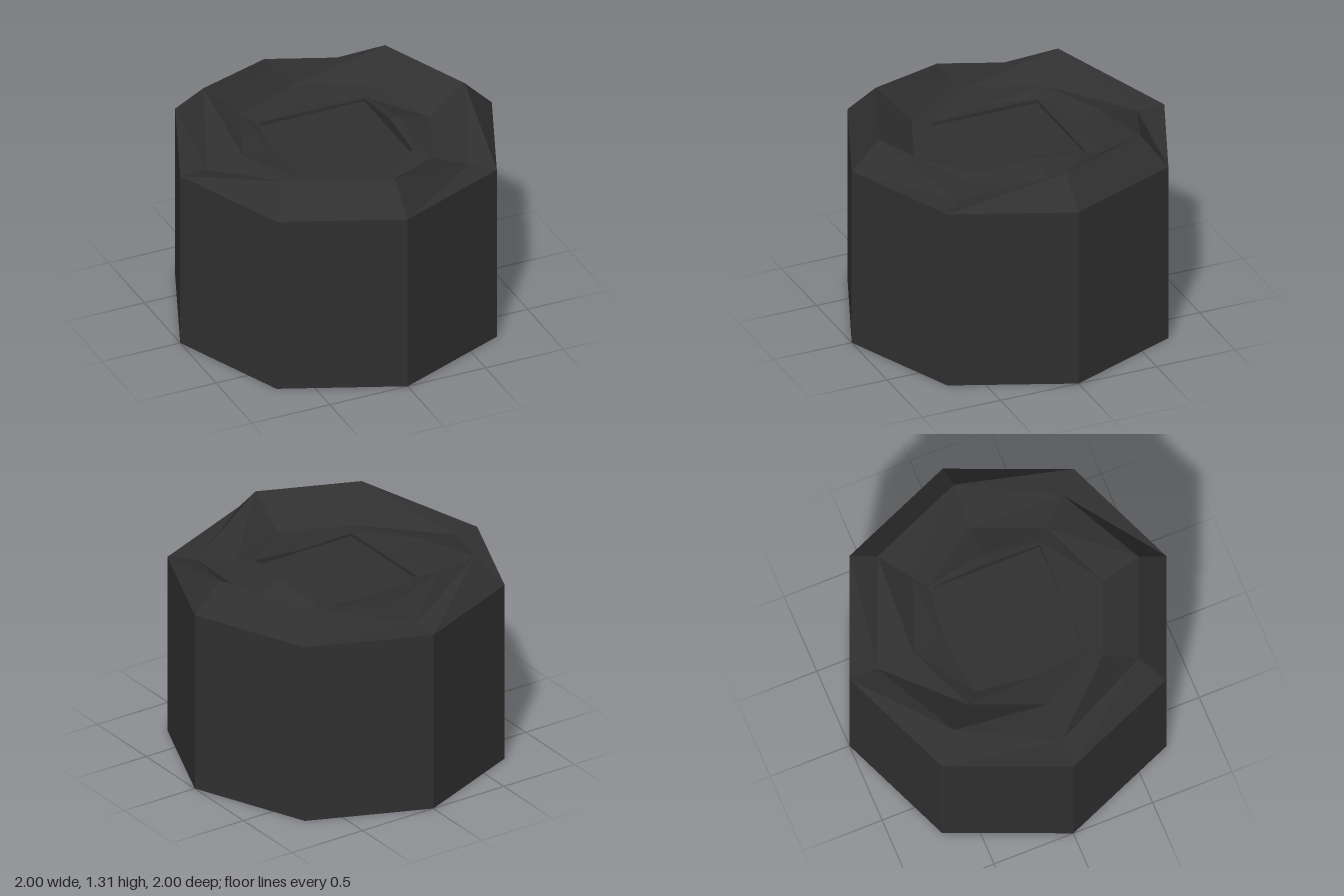
import * as THREE from 'three';

const SIDES = 8;
const BASE = 1.135; // height of the straight wall

// Ring of eight points; radius and height may each be one value or a list
function ring(radius, height) {
  const at = (v, i) => (Array.isArray(v) ? v[i % v.length] : v);
  return Array.from({ length: SIDES }, (_, i) => {
    const a = (i * Math.PI * 2) / SIDES;
    const r = at(radius, i);
    return [r * Math.cos(a), at(height, i), r * Math.sin(a)];
  });
}

// Faceted surface joining each ring to the next
function skin(name, rings, material) {
  const pos = [];
  const tri = (a, b, c) => {
    const same = (p, q) => p.every((v, k) => Math.abs(v - q[k]) < 1e-6);
    if (!same(a, b) && !same(b, c) && !same(a, c)) pos.push(...a, ...b, ...c);
  };
  for (let k = 0; k < rings.length - 1; k++) {
    const p = rings[k], q = rings[k + 1];
    for (let i = 0; i < SIDES; i++) {
      const j = (i + 1) % SIDES;
      tri(p[i], q[i], p[j]);
      tri(q[i], q[j], p[j]);
    }
  }
  const geometry = new THREE.BufferGeometry();
  geometry.setAttribute('position', new THREE.Float32BufferAttribute(pos, 3));
  geometry.computeVertexNormals();
  const mesh = new THREE.Mesh(geometry, material);
  mesh.name = name;
  return mesh;
}

export function createModel() {
  const group = new THREE.Group();
  group.name = 'octagonalBlock';
  const charcoal = new THREE.MeshStandardMaterial({ color: 0x303030, flatShading: true });
  charcoal.name = 'charcoal';

  const lift = (list) => list.map((h) => BASE + h);
  const H = 0.175; // height of the raised rim points

  // Points run from +x towards +z
  const outer = ring(1, BASE);
  const crest = ring(0.825, lift([H, 0, H, H, 0, H, 0, H]));
  const basin = ring(0.6, lift([0, 0, 0, 0, 0.04, 0.045, 0.045, 0.03]));
  const shelf = ring([0.4, 0.5], lift([0.06, 0.025, 0, 0.005, 0.01, 0.01, 0.01, 0.005]));
  const lip = ring([0.34, 0.481], lift([0.06, 0.025, 0, 0.005, 0.01, 0.01, 0.01, 0.005]));
  const floorY = BASE - 0.012;
  const floorEdge = ring([0.34, 0.481], floorY);

  // Straight wall with closed base
  group.add(skin('body', [ring(0, 0), ring(1, 0), outer], charcoal));
  // Uneven broken rim
  group.add(skin('rim', [outer, crest, basin], charcoal));
  // Nearly level top around the square recess
  group.add(skin('top', [basin, shelf, lip], charcoal));
  // Shallow square recess
  group.add(skin('recess', [lip, floorEdge, ring(0, floorY)], charcoal));
  return group;
}
